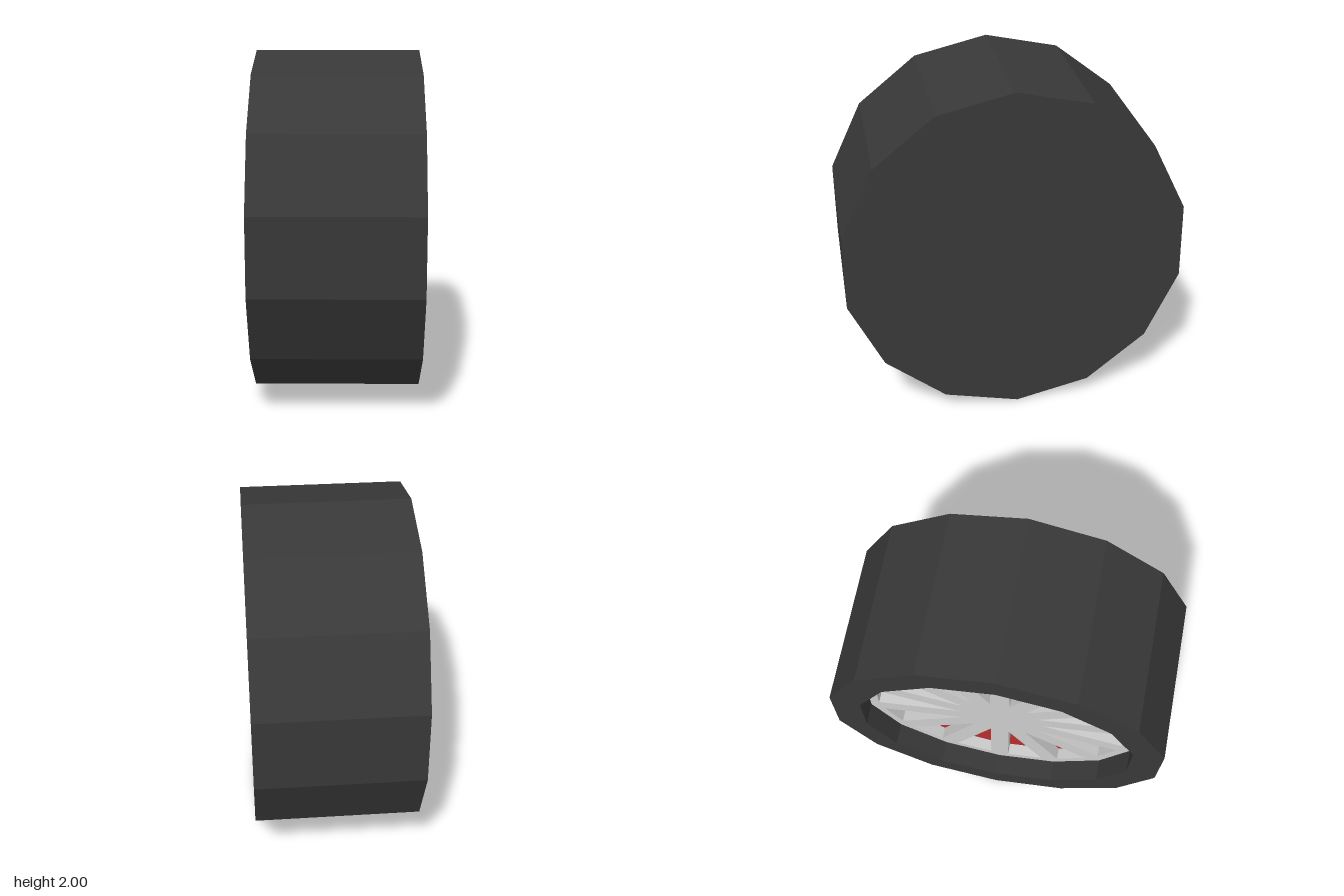
import * as THREE from 'three';

const SIDES = 14;
const STEP = (Math.PI * 2) / SIDES;
const HALF_WIDTH = 0.475;
const BORE = 0.82;       // radius of the recess in the tyre
const RIM_FACE = 0.348;  // distance of the rim's outer face from the middle
const RIM_DEPTH = 0.07;
const BACK = RIM_FACE - RIM_DEPTH;

const mat = (color) => new THREE.MeshStandardMaterial({ color, flatShading: true });
const polar = (r, a) => new THREE.Vector2(r * Math.cos(a), r * Math.sin(a));

function addPart(group, name, geometry, material) {
  const mesh = new THREE.Mesh(geometry, material);
  mesh.name = name;
  group.add(mesh);
  return mesh;
}

// Rim plate: polygon with one triangular window per side, leaving straight spokes
function rimShape() {
  const spokeWidth = 0.112, windowEnd = 0.745;
  const a = STEP / 2;
  const inset = spokeWidth / 2 / Math.cos(a);
  const apex = inset / Math.tan(a);
  const half = windowEnd * Math.tan(a) - inset;
  const shape = new THREE.Shape(
    Array.from({ length: SIDES }, (_, i) => polar(BORE, (i + 0.5) * STEP)));
  for (let i = 0; i < SIDES; i++) {
    const corners = [[apex, 0], [windowEnd, -half], [windowEnd, half]];
    const pivot = new THREE.Vector2();
    shape.holes.push(new THREE.Path(
      corners.map(([x, y]) => new THREE.Vector2(x, y).rotateAround(pivot, i * STEP))));
  }
  return shape;
}

export function createModel() {
  const wheel = new THREE.Group();
  wheel.name = 'wheel';

  // Tyre: closed on the +x side, recessed on the -x side
  const profile = [
    [0, -HALF_WIDTH], [1, -HALF_WIDTH], [1, HALF_WIDTH],
    [BORE, HALF_WIDTH], [BORE, BACK - 0.01], [0, BACK - 0.01],
  ].map(([r, h]) => new THREE.Vector2(r, h));
  const tyre = new THREE.LatheGeometry(profile, SIDES, Math.PI / 2);
  tyre.rotateZ(Math.PI / 2);
  addPart(wheel, 'tyre', tyre, mat(0x383838));

  // Spoked rim
  const rim = new THREE.ExtrudeGeometry(rimShape(), { depth: RIM_DEPTH, bevelEnabled: false });
  rim.rotateY(-Math.PI / 2);
  addPart(wheel, 'spokedRim', rim, mat(0xcccccc)).position.x = -BACK;

  // Red disc seen between the spokes
  const disc = new THREE.CircleGeometry(BORE, SIDES, STEP / 2);
  disc.rotateY(-Math.PI / 2);
  addPart(wheel, 'brakeDisc', disc, mat(0xb52d2d)).position.x = -BACK + 0.002;

  wheel.rotation.x = 0.01;
  wheel.position.y = 1;

  const model = new THREE.Group();
  model.add(wheel);
  return model;
}
